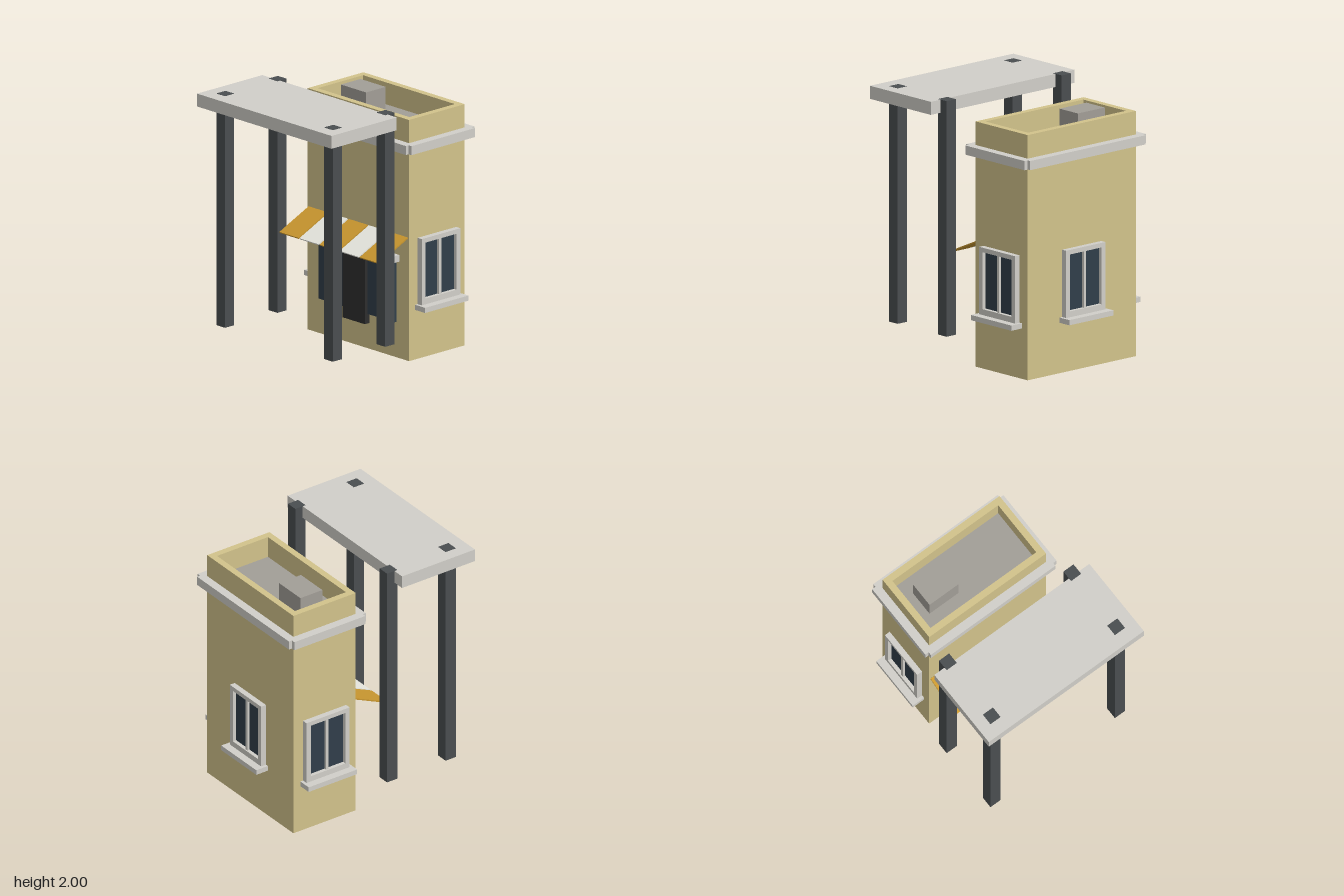
import * as THREE from 'three';

export function createModel() {
  const mat = (name, color, side = THREE.FrontSide) => {
    const m = new THREE.MeshStandardMaterial({ color, side });
    m.name = name;
    return m;
  };
  const wall = mat('sandWall', 0xd2c38b, THREE.DoubleSide);
  const trim = mat('paleStone', 0xd1cfc9);
  const steel = mat('darkSteel', 0x4a4e50);
  const roofGrey = mat('roofGrey', 0xa29e97);
  const glass = mat('darkGlass', 0x303e4a);
  const doorMat = mat('blackDoor', 0x2e2e2e);
  const gold = mat('goldCloth', 0xc9972f);
  const white = mat('whiteCloth', 0xe8e8e0);

  const model = new THREE.Group();
  model.name = 'shopBuilding';

  // Box given by its minimum and maximum corners
  const box = (name, material, [x0, y0, z0], [x1, y1, z1], parent = model) => {
    const g = new THREE.BoxGeometry(x1 - x0, y1 - y0, z1 - z0);
    const m = new THREE.Mesh(g, material);
    m.position.set((x0 + x1) / 2, (y0 + y1) / 2, (z0 + z1) / 2);
    m.name = name;
    parent.add(m);
    return m;
  };

  // Building footprint
  const CX = 0.032, CZ = -0.45, HW = 0.545, HD = 0.285;
  const FRONT = CZ + HD, ROOF = 1.7, TOP = 1.875;

  // Body, open underneath
  const body = box('body', wall, [CX - HW, 0, CZ - HD], [CX + HW, ROOF, CZ + HD]);
  const index = Array.from(body.geometry.index.array);
  index.splice(18, 6);
  body.geometry.setIndex(index);
  body.geometry.clearGroups();

  // Parapet ring around the sunken roof
  const rect = (S, w, d) => new S([[-w, -d], [w, -d], [w, d], [-w, d]].map(p => new THREE.Vector2(...p)));
  const ring = rect(THREE.Shape, HW, HD);
  ring.holes.push(rect(THREE.Path, HW - 0.052, HD - 0.052));
  const parapet = new THREE.Mesh(
    new THREE.ExtrudeGeometry(ring, { depth: TOP - ROOF, bevelEnabled: false }).rotateX(-Math.PI / 2), wall);
  parapet.position.set(CX, ROOF, CZ);
  parapet.name = 'parapet';
  model.add(parapet);

  box('roof', roofGrey, [CX - HW + 0.052, ROOF, CZ - HD + 0.052], [CX + HW - 0.052, ROOF + 0.005, CZ + HD - 0.052]);
  box('roofUnit', roofGrey, [-0.361, ROOF, -0.561], [-0.09, 1.895, -0.36]);

  // Cornice: two long and two short strips with notched corners
  const P = 0.067;
  for (const s of [-1, 1]) {
    const z = [CZ + s * HD, CZ + s * (HD + P)].sort((a, b) => a - b);
    box('longCornice', trim, [CX - HW - 0.036, 1.625, z[0]], [CX + HW + 0.036, 1.695, z[1]]);
    const x = [CX + s * HW, CX + s * (HW + P)].sort((a, b) => a - b);
    box('sideCornice', trim, [x[0], 1.625, CZ - HD - 0.04], [x[1], 1.695, CZ + HD + 0.04]);
  }

  // Shop front
  for (const [name, x0, x1] of [['leftShopWindow', 0.15, 0.441], ['rightShopWindow', -0.376, -0.091]])
    box(name, glass, [x0, 0.275, FRONT], [x1, 0.75, FRONT + 0.02]);
  box('door', doorMat, [-0.091, 0.2, FRONT], [0.15, 0.75, FRONT + 0.046]);
  box('lintel', trim, [CX - 0.44, 0.75, FRONT], [CX + 0.44, 0.802, FRONT + P]);

  // Striped awning sloping down from the wall
  const run = 0.3, drop = 0.135;
  for (let i = 0; i < 5; i++) {
    const panel = new THREE.Mesh(
      new THREE.BoxGeometry(0.203, 0.01, Math.hypot(run, drop)), i % 2 ? white : gold);
    panel.position.set(CX + (i - 2) * 0.216, 0.888, FRONT + run / 2);
    panel.rotation.x = Math.atan2(drop, run);
    panel.name = 'awningPanel';
    model.add(panel);
  }

  // Framed window with sill, built facing +z
  const addWindow = (name, x, z, turn) => {
    const w = new THREE.Group();
    w.name = name;
    for (const s of [-1, 1]) {
      const c = s * 0.178;
      box('jamb', trim, [c - 0.0195, 0.425, 0], [c + 0.0195, 0.94, 0.045], w);
      const g = s * 0.085;
      box('pane', glass, [g - 0.0735, 0.47, 0], [g + 0.0735, 0.905, 0.015], w);
    }
    box('frameHead', trim, [-0.1585, 0.905, 0], [0.1585, 0.94, 0.045], w);
    box('frameFoot', trim, [-0.1585, 0.425, 0], [0.1585, 0.47, 0.045], w);
    box('mullion', trim, [-0.0115, 0.47, 0], [0.0115, 0.905, 0.035], w);
    box('sill', trim, [-0.222, 0.385, 0], [0.222, 0.425, 0.106], w);
    w.position.set(x, 0, z);
    w.rotation.y = turn;
    model.add(w);
  };
  addWindow('leftWindow', CX + HW, CZ, Math.PI / 2);
  addWindow('rightWindow', CX - HW, CZ, -Math.PI / 2);
  addWindow('backWindow', CX, CZ - HD, Math.PI);

  // Flat canopy on four posts whose ends show through the slab
  box('canopy', trim, [CX - 0.723, 1.9, 0.131], [CX + 0.723, 2, 0.798]);
  for (const x of [CX - 0.58, CX + 0.58])
    for (const z of [0.11, 0.646])
      box('canopyPost', steel, [x - 0.047, 0.2, z - 0.047], [x + 0.047, 2.001, z + 0.047]);

  // The whole building stands slightly turned
  model.rotation.y = -0.071;
  const root = new THREE.Group();
  root.name = 'model';
  root.add(model);
  return root;
}
